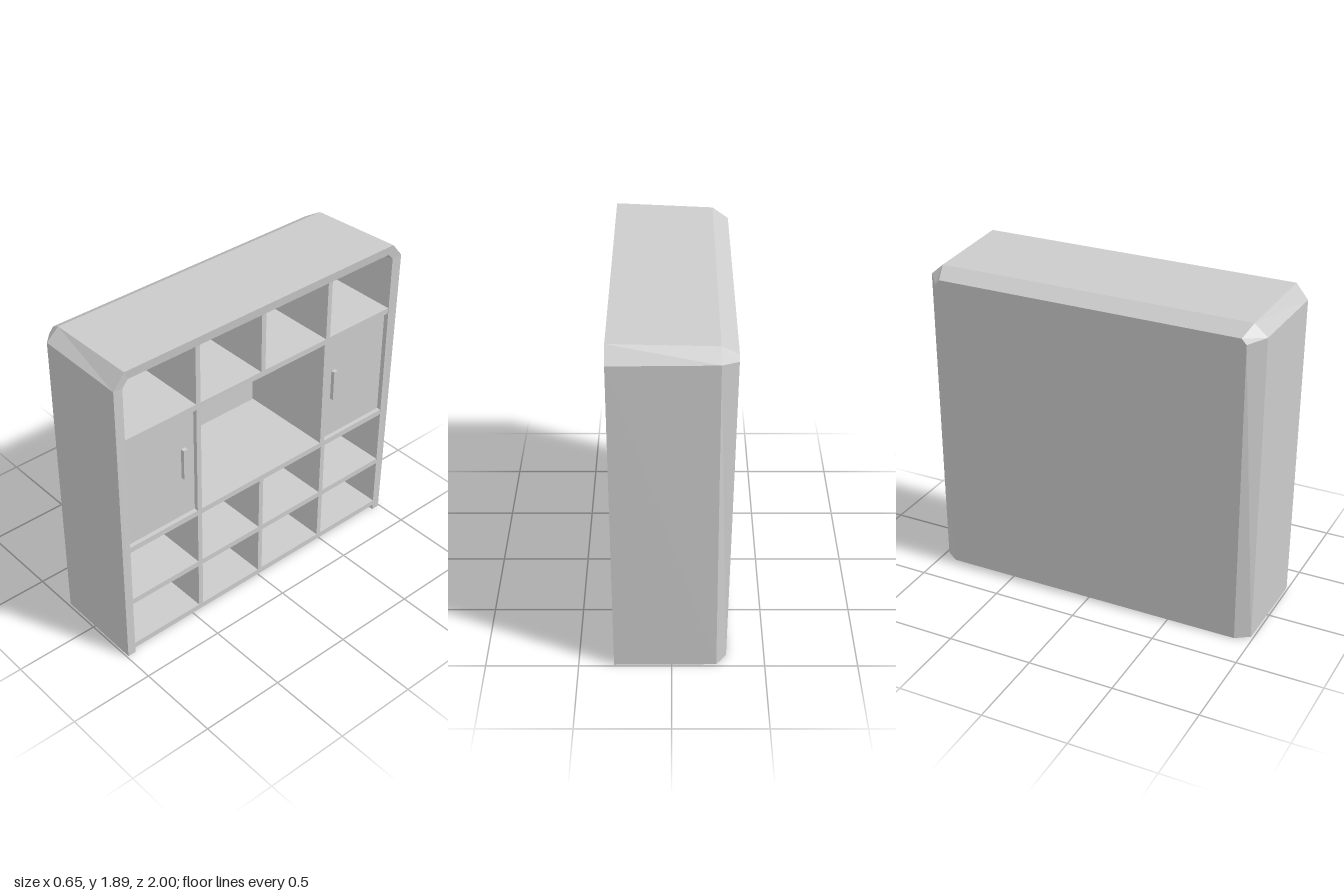
import * as THREE from 'three';

const grey = new THREE.MeshStandardMaterial({ color: 0xcccccc, flatShading: true });
const thin = new THREE.MeshStandardMaterial({ color: 0xcccccc, flatShading: true, side: THREE.DoubleSide });

// Arch-shaped section across the cabinet; x leans from xb at the floor to xt at the top
function arch(xb, xt, zFoot, zSide, ySide, zTop, yTop) {
  const half = [[zFoot, 0], [zSide, ySide], [zTop, yTop]];
  const all = [...half, ...half.map(([z, y]) => [-z, y]).reverse()];
  return all.map(([z, y]) => [xb + (xt - xb) * y / yTop, y, z]);
}

function createShell() {
  const sections = [
    arch(-0.265, -0.29, 0.89, 0.9, 1.78, 0.88, 1.8),     // inner back
    arch(-0.22, -0.22, 0.94, 0.94, 1.78, 0.9, 1.81),     // inner corner
    arch(0.31, 0.315, 0.94, 0.94, 1.8, 0.905, 1.84),     // opening
    arch(0.31, 0.322, 0.99, 1.0, 1.81, 0.93, 1.895),     // front edge
    arch(-0.24, -0.24, 0.985, 0.99, 1.81, 0.915, 1.875), // outer corner
    arch(-0.295, -0.33, 0.905, 0.912, 1.79, 0.885, 1.82) // outer back
  ];
  const pos = [];
  const tri = (...pts) => pts.forEach((p) => pos.push(...p));
  const quad = (a, b, c, d) => { tri(a, b, c); tri(a, c, d); };
  for (let s = 0; s < 5; s++) {
    const p = sections[s], q = sections[s + 1];
    for (let i = 0; i < 5; i++) quad(p[i], p[i + 1], q[i + 1], q[i]);
  }
  // Back panels, inside and outside
  const inner = sections[0], outer = sections[5];
  for (let i = 1; i < 5; i++) {
    tri(inner[0], inner[i + 1], inner[i]);
    tri(outer[0], outer[i], outer[i + 1]);
  }
  // Rim on the floor
  for (const e of [0, 5]) {
    const f = sections.map((s) => s[e]);
    const rims = [[f[2], f[3], f[4], f[1]], [f[1], f[4], f[5], f[0]]];
    rims.forEach((r) => quad(...(e ? r.reverse() : r)));
  }
  quad(inner[0], outer[0], outer[5], inner[5]);
  const geo = new THREE.BufferGeometry();
  geo.setAttribute('position', new THREE.Float32BufferAttribute(pos, 3));
  geo.computeVertexNormals();
  return new THREE.Mesh(geo, thin);
}

// Shelf board with clipped rear corners
function createShelf(y0, y1) {
  const shape = new THREE.Shape([[0.31, 0.945], [-0.22, 0.945], [-0.268, 0.9],
    [-0.268, -0.9], [-0.22, -0.945], [0.31, -0.945]].map(([x, z]) => new THREE.Vector2(x, z)));
  const geo = new THREE.ExtrudeGeometry(shape, { depth: y1 - y0, bevelEnabled: false });
  geo.rotateX(Math.PI / 2);
  geo.translate(0, y1, 0);
  return new THREE.Mesh(geo, grey);
}

// Box given by its limits
function block(x0, x1, y0, y1, z0, z1) {
  const geo = new THREE.BoxGeometry(x1 - x0, y1 - y0, z1 - z0);
  geo.translate((x0 + x1) / 2, (y0 + y1) / 2, (z0 + z1) / 2);
  return new THREE.Mesh(geo, grey);
}

export function createModel() {
  const model = new THREE.Group();
  model.name = 'shelfCabinet';
  const add = (name, mesh) => { mesh.name = name; model.add(mesh); };

  add('shell', createShell());

  const shelves = [[0.035, 0.07], [0.365, 0.4], [0.735, 0.77], [1.445, 1.48]];
  shelves.forEach(([a, b]) => add('shelf', createShelf(a, b)));

  // Upright dividers of the open rows
  for (const [y0, y1] of [[0.07, 0.365], [0.4, 0.735], [1.48, 1.81]]) {
    for (const z of [0.46, 0.01, -0.468]) add('divider', block(-0.272, 0.31, y0, y1, z - 0.015, z + 0.015));
  }
  // Top ends of the upper dividers, reaching the sloping ceiling
  for (const z of [0.46, 0.01, -0.468]) add('dividerTop', block(0.0, 0.31, 1.81, 1.842, z - 0.015, z + 0.015));

  // Middle row: two cupboards beside an open bay
  for (const s of [1, -1]) {
    add('bayDivider', block(-0.275, 0.31, 0.77, 1.445, s * 0.46 - 0.015, s * 0.46 + 0.015));
    add('door', block(0.26, 0.285, 0.77, 1.445, s * 0.7075 - 0.2325, s * 0.7075 + 0.2325));
    add('handle', block(0.285, 0.308, 1.03, 1.22, s * 0.548 - 0.014, s * 0.548 + 0.014));
  }
  return model;
}
